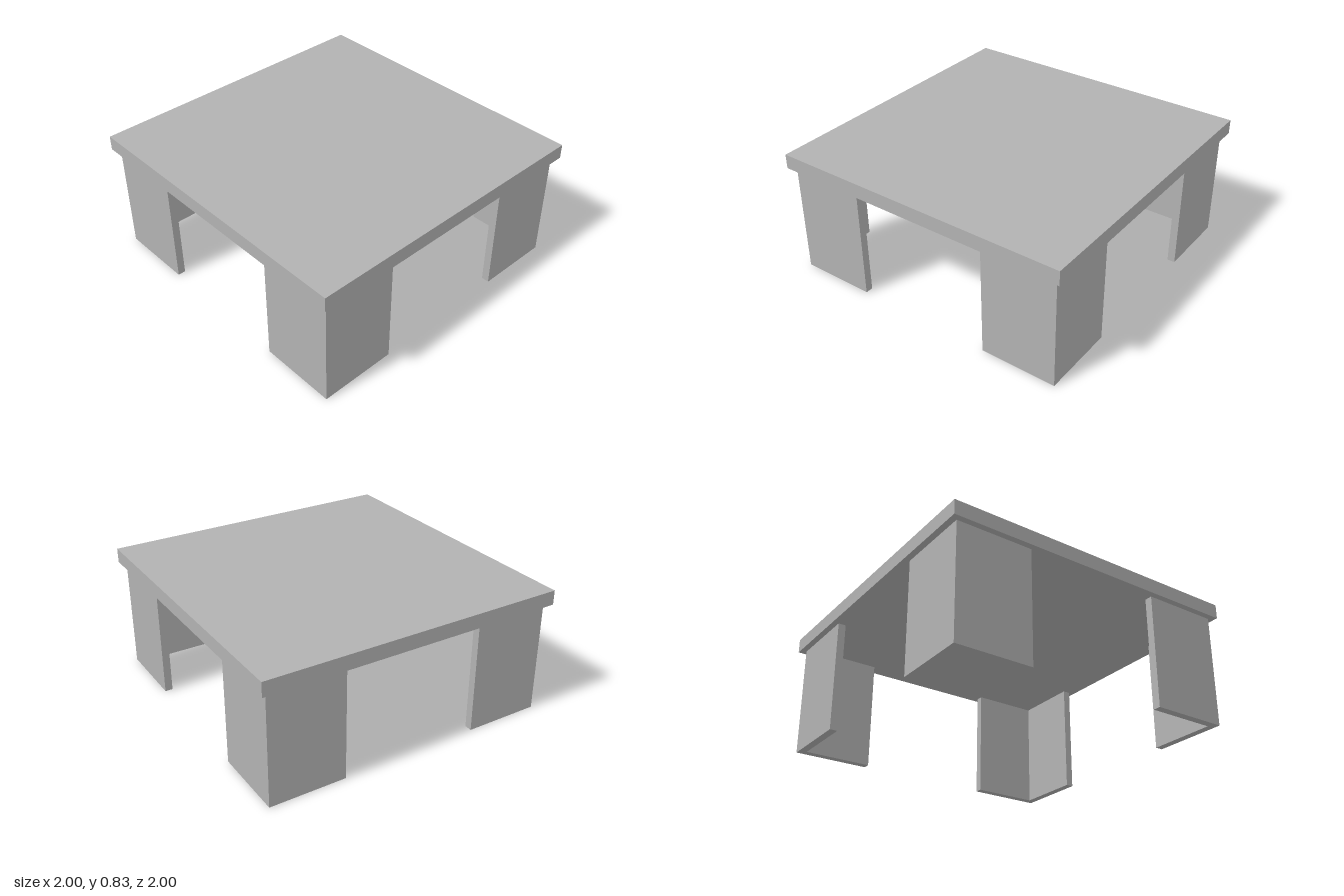
import * as THREE from 'three';

export function createModel() {
  const model = new THREE.Group();
  model.name = 'table';

  const grey = new THREE.MeshStandardMaterial({ color: 0xb2b2b2 });
  grey.name = 'grey';

  const legHeight = 0.74, topThickness = 0.095;
  const outer = 0.96, inner = 0.46, panel = 0.05;

  // Square table top
  const top = new THREE.Mesh(new THREE.BoxGeometry(2, topThickness, 2), grey);
  top.name = 'tableTop';
  top.position.y = legHeight + topThickness / 2;
  model.add(top);

  // L-shaped corner leg: two panels meeting at the outer corner
  const corner = new THREE.Shape([
    [outer, outer], [inner, outer], [inner, outer - panel],
    [outer - panel, outer - panel], [outer - panel, inner], [outer, inner],
  ].map(([x, y]) => new THREE.Vector2(x, y)));
  const legGeometry = new THREE.ExtrudeGeometry(corner, { depth: legHeight, bevelEnabled: false });
  legGeometry.rotateX(-Math.PI / 2);

  // The same leg turned into each corner
  ['backLeftLeg', 'backRightLeg', 'frontRightLeg', 'frontLeftLeg'].forEach((name, i) => {
    const leg = new THREE.Mesh(legGeometry, grey);
    leg.name = name;
    leg.rotation.y = i * Math.PI / 2;
    model.add(leg);
  });

  return model;
}
